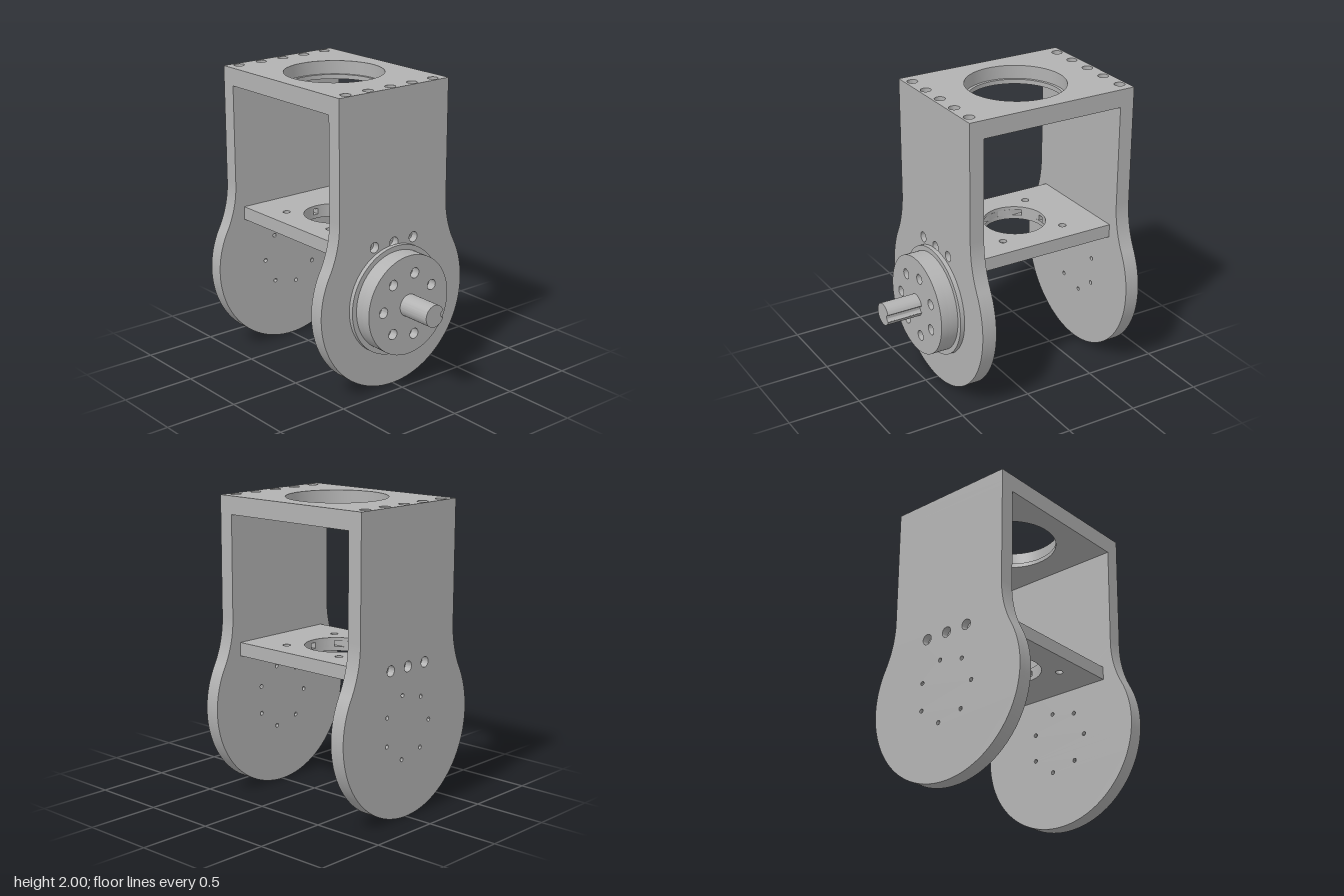
import * as THREE from 'three';
import { toCreasedNormals } from 'three/addons/utils/BufferGeometryUtils.js';

const grey = new THREE.MeshStandardMaterial({ color: 0xb2b2b2 });
grey.name = 'machined grey';

function addHoles(shape, holes) {
  for (const [x, y, r] of holes) {
    const path = new THREE.Path();
    path.absarc(x, y, r, 0, Math.PI * 2, true);
    shape.holes.push(path);
  }
  return shape;
}

function slab(name, shape, depth) {
  const geo = new THREE.ExtrudeGeometry(shape, { depth, bevelEnabled: false, curveSegments: 40 });
  const mesh = new THREE.Mesh(toCreasedNormals(geo, 0.5), grey);
  mesh.name = name;
  return mesh;
}

// Upright slab, thick along x (shape x runs along -z)
function upright(name, shape, x0, x1) {
  const mesh = slab(name, shape, x1 - x0);
  mesh.rotation.y = Math.PI / 2;
  mesh.position.x = x0;
  return mesh;
}

// Flat slab, thick along y, centred on the bracket
const MID = -0.1975;
function flat(name, shape, y0, y1) {
  const mesh = slab(name, shape, y1 - y0);
  mesh.rotation.x = -Math.PI / 2;
  mesh.position.set(MID, y0, 0);
  return mesh;
}

function rect(w, d) {
  return new THREE.Shape([[-w, -d], [w, -d], [w, d], [-w, d]].map(p => new THREE.Vector2(...p)));
}

function disc(r) {
  const s = new THREE.Shape();
  s.absarc(0, 0, r, 0, Math.PI * 2, false);
  return s;
}

// Straight leg flowing through concave fillets into a round foot
function legShape(holes) {
  const s = new THREE.Shape();
  const R = 0.675, a = Math.atan2(0.6, 1.125);
  s.moveTo(0.45, 1.88);
  s.lineTo(-0.45, 1.88);
  s.lineTo(-0.45, 1.2);
  s.absarc(-0.45 - R, 1.2, R, 0, -a, true);
  s.absarc(0, 0.6, 0.6, Math.PI - a, Math.PI * 2 + a, false);
  s.absarc(0.45 + R, 1.2, R, Math.PI + a, Math.PI, true);
  return addHoles(s, holes);
}

// Seven bolts on a circle
function boltRing(cy, r) {
  return Array.from({ length: 7 }, (_, i) => {
    const a = Math.PI + (i * Math.PI * 2) / 7;
    return [0.215 * Math.cos(a), cy + 0.215 * Math.sin(a), r];
  });
}

export function createModel() {
  const model = new THREE.Group();
  model.name = 'motorBracket';

  // Legs: counterbored outer half, plain inner half
  const crossHoles = r => [-0.165, 0, 0.165].map(z => [z, 0.988, r]);
  const outer = () => legShape([...crossHoles(0.035), ...boltRing(0.6, 0.014)]);
  const inner = () => legShape([...crossHoles(0.02), ...boltRing(0.6, 0.014)]);
  model.add(
    upright('rightLegOuter', outer(), -0.8, -0.75),
    upright('rightLegInner', inner(), -0.75, -0.7),
    upright('leftLegInner', inner(), 0.305, 0.355),
    upright('leftLegOuter', outer(), 0.355, 0.405)
  );

  // Top plate with stepped opening and two rows of counterbored holes
  const rows = r => [-1, 1].flatMap(s => [-2, -1, 0, 1, 2].map(i => [s * 0.5525, i * 0.18, r]));
  model.add(
    flat('topPlate', addHoles(rect(0.6025, 0.45), [[0, 0, 0.33], ...rows(0.035)]), 1.91, 2),
    flat('topPlateLip', addHoles(rect(0.6025, 0.45), [[0, 0, 0.31], ...rows(0.02)]), 1.88, 1.91)
  );

  // Middle shelf: two skins around a core with cross-drilled channels
  const W = 0.5025, D = 0.385, R = 0.208;
  const corners = [-1, 1].flatMap(x => [-1, 1].map(z => [x * 0.23, z * 0.23, 0.025]));
  const skin = () => addHoles(rect(W, D), [[0, 0, R], ...corners]);
  const shelf = new THREE.Group();
  shelf.name = 'middleShelf';
  shelf.add(flat('shelfBottom', skin(), 0.94, 0.968), flat('shelfTop', skin(), 1.008, 1.03));
  const strips = [[-D, -0.185], [-0.145, -0.02], [0.02, 0.145], [0.185, D]];
  for (const side of [-1, 1]) {
    for (const [z0, z1] of strips) {
      const pts = [new THREE.Vector2(side * W, z0)];
      for (let i = 0; i <= 16; i++) {
        const z = z0 + ((z1 - z0) * i) / 16;
        pts.push(new THREE.Vector2(side * Math.sqrt(Math.max(0, R * R - z * z)), z));
      }
      pts.push(new THREE.Vector2(side * W, z1));
      const own = corners.filter(([x, z]) => x * side > 0 && z > z0 && z < z1);
      shelf.add(flat('shelfCore', addHoles(new THREE.Shape(pts), own), 0.968, 1.008));
    }
  }
  model.add(shelf);

  // Hub: flange, body with counterbored bolt holes, keyed shaft
  const hub = new THREE.Group();
  hub.name = 'hub';
  hub.position.y = 0.6;
  const shaft = new THREE.Shape();
  const k = 0.33;
  shaft.absarc(0, 0, 0.075, k, Math.PI * 2 - k, false);
  shaft.absarc(0.075, 0, 0.025, Math.PI * 1.5, Math.PI / 2, true);
  hub.add(
    upright('hubFlange', disc(0.372), 0.405, 0.435),
    upright('hubBodyInner', addHoles(disc(0.338), boltRing(0, 0.02)), 0.435, 0.495),
    upright('hubBodyOuter', addHoles(disc(0.338), boltRing(0, 0.035)), 0.495, 0.555),
    upright('shaft', shaft, 0.555, 0.8)
  );
  model.add(hub);
  return model;
}
